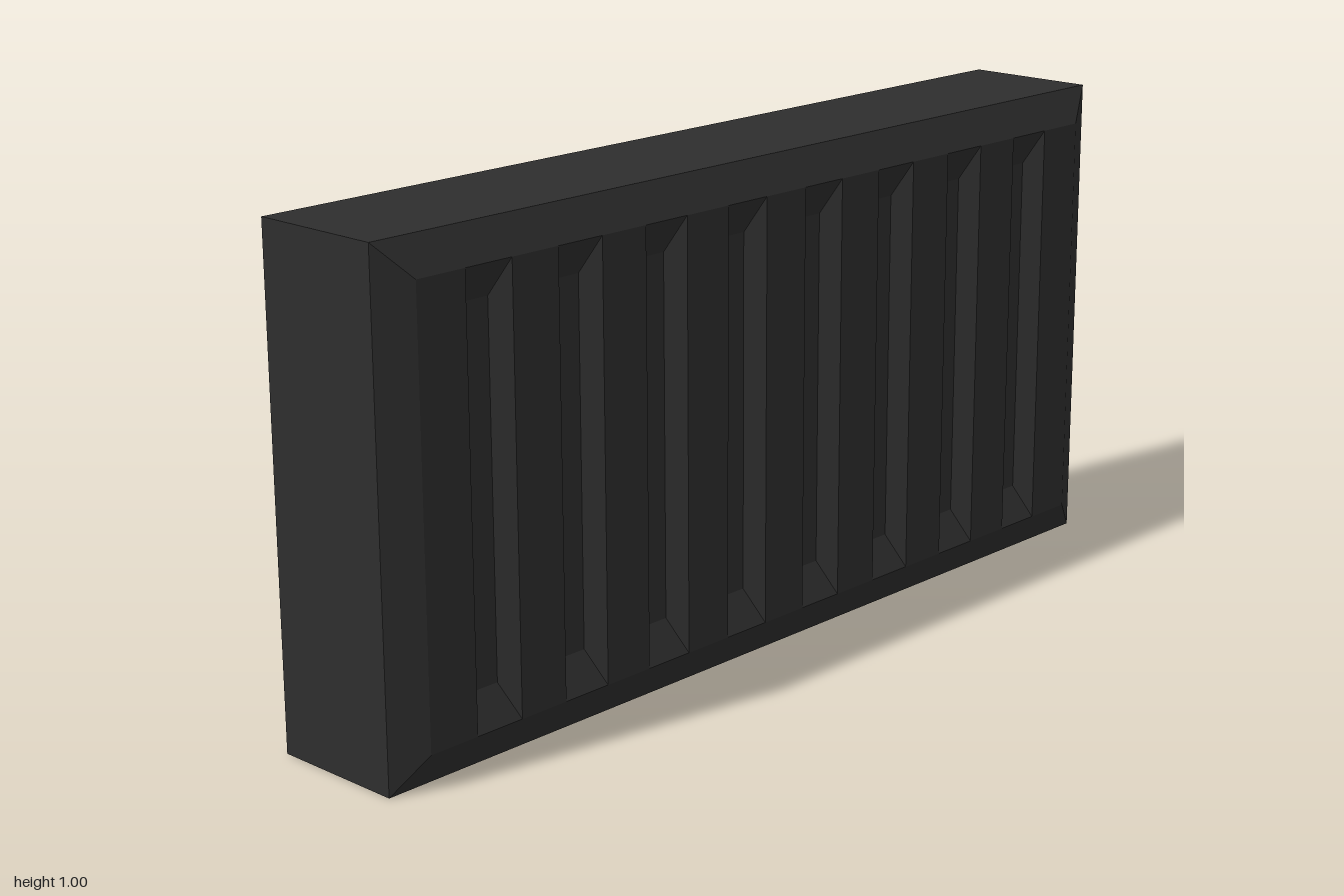
import * as THREE from 'three';

const BACK = -0.16, BASE = 0.123, FACE = 0.158; // x of back, groove floor and raised face
const INSET = 0.07, GROOVES = 8, PITCH = 0.2187;
const GROOVE_HALF = 0.054, FLOOR_HALF = 0.027;

// Corners of an upright rectangle facing +x, anticlockwise
const rect = (x, z0, z1, y0, y1) => [[x, y0, z1], [x, y0, z0], [x, y1, z0], [x, y1, z1]];

// Four sloped quads joining an outer rectangle to an inner one
const slopes = (outer, inner) => outer.map((p, i) => {
  const j = (i + 1) % 4;
  return [p, outer[j], inner[j], inner[i]];
});

function quadMesh(name, quads, material) {
  const points = quads.flatMap(([a, b, c, d]) => [a, b, c, a, c, d]).flat();
  const geometry = new THREE.BufferGeometry();
  geometry.setAttribute('position', new THREE.Float32BufferAttribute(points, 3));
  geometry.computeVertexNormals();
  const mesh = new THREE.Mesh(geometry, material);
  mesh.name = name;
  return mesh;
}

export function createModel() {
  const group = new THREE.Group();
  group.name = 'ventPanel';
  const charcoal = new THREE.MeshStandardMaterial({ color: 0x2e2e2e });
  charcoal.name = 'charcoal';

  // Main block; its +x side forms the groove floors
  const body = new THREE.Mesh(new THREE.BoxGeometry(BASE - BACK, 1, 2), charcoal);
  body.name = 'body';
  body.position.set((BACK + BASE) / 2, 0.5, 0);
  group.add(body);

  // Chamfered border around the raised face
  const lo = INSET, hi = 1 - INSET, end = 1 - INSET;
  group.add(quadMesh('bevel',
    slopes(rect(BASE, -1, 1, 0, 1), rect(FACE, -end, end, lo, hi)), charcoal));

  // Flat ribs between the grooves, and the sloped walls of each groove
  const ribs = [], walls = [];
  let start = -end;
  for (let i = 0; i < GROOVES; i++) {
    const z = (i - (GROOVES - 1) / 2) * PITCH;
    ribs.push(rect(FACE, start, z - GROOVE_HALF, lo, hi));
    walls.push(...slopes(
      rect(FACE, z - GROOVE_HALF, z + GROOVE_HALF, lo, hi),
      rect(BASE, z - FLOOR_HALF, z + FLOOR_HALF, lo + 0.07, hi - 0.07)));
    start = z + GROOVE_HALF;
  }
  ribs.push(rect(FACE, start, end, lo, hi));
  group.add(quadMesh('ribs', ribs, charcoal), quadMesh('grooveWalls', walls, charcoal));
  return group;
}
